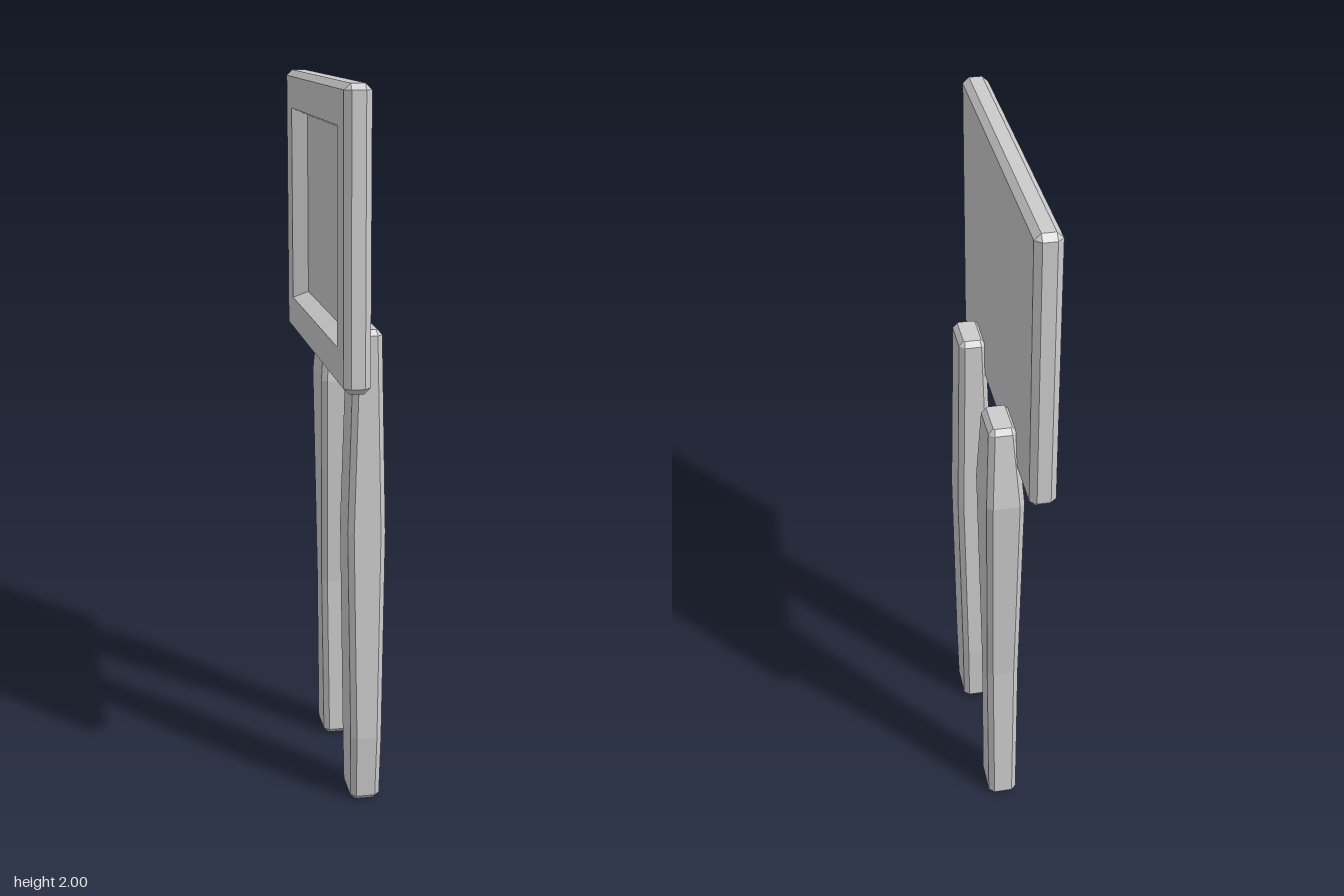
import * as THREE from 'three';

const material = new THREE.MeshStandardMaterial({ color: 0xcccccc, flatShading: true });

// Rectangle with cut corners, counter-clockwise in (u, v)
function cutRect([u0, u1], [v0, v1], c) {
  return [
    [u1, v0 + c], [u1, v1 - c], [u1 - c, v1], [u0 + c, v1],
    [u0, v1 - c], [u0, v0 + c], [u0 + c, v0], [u1 - c, v0],
  ];
}

// Skin through sections { t, u, v, cut }; place maps (t, u, v) to a position
function loft(name, sections, place) {
  const rings = sections.map(s =>
    cutRect(s.u, s.v, s.cut).map(([u, v]) => place(s.t, u, v)));
  const pos = [];
  const tri = (a, b, c) => {
    const area = b.clone().sub(a).cross(c.clone().sub(a)).length();
    if (area > 1e-9) for (const p of [a, b, c]) pos.push(p.x, p.y, p.z);
  };
  for (let k = 0; k < rings.length - 1; k++) {
    const a = rings[k], b = rings[k + 1];
    for (let i = 0; i < 8; i++) {
      const j = (i + 1) % 8;
      tri(a[i], a[j], b[j]);
      tri(a[i], b[j], b[i]);
    }
  }
  const first = rings[0], last = rings[rings.length - 1];
  for (let i = 1; i < 7; i++) {
    tri(first[0], first[i + 1], first[i]);
    tri(last[0], last[i], last[i + 1]);
  }
  const geo = new THREE.BufferGeometry();
  geo.setAttribute('position', new THREE.Float32BufferAttribute(pos, 3));
  geo.computeVertexNormals();
  const mesh = new THREE.Mesh(geo, material);
  mesh.name = name;
  return mesh;
}

// Board: bevelled slab with a shallow framed recess on the -x face
function makeBoard() {
  const section = (x, inset, cut) => ({
    t: x, u: [1.235 + inset, 2 - inset], v: [-0.468 + inset, 0.468 - inset], cut,
  });
  return loft('signBoard', [
    section(-0.035, 0.125, 0), // recess floor
    section(-0.078, 0.105, 0), // recess rim
    section(-0.078, 0.016, 0),
    section(-0.061, 0, 0.016),
    section(-0.025, 0, 0.016),
    section(-0.008, 0.016, 0),
  ], (x, y, z) => new THREE.Vector3(x, y, z));
}

// Post: hewn plank with bevelled edges; rows are [y, zMin, zMax, xMin, xMax]
function makePost(name, rows) {
  const sections = rows.map(([y, z0, z1, x0, x1]) =>
    ({ t: y, u: [z0, z1], v: [x0, x1], cut: 0.015 }));
  const bevelEnd = (s, y) => ({
    t: y, cut: 0.004,
    u: [s.u[0] + 0.013, s.u[1] - 0.013], v: [s.v[0] + 0.013, s.v[1] - 0.013],
  });
  const top = sections[sections.length - 1];
  return loft(name, [bevelEnd(sections[0], 0), ...sections, bevelEnd(top, 1.36)],
    (y, z, x) => new THREE.Vector3(x, y, z));
}

export function createModel() {
  const model = new THREE.Group();
  model.name = 'signpost';
  model.add(makeBoard());
  model.add(makePost('frontPost', [
    [0.014, 0.137, 0.266, -0.02, 0.063],
    [0.2, 0.129, 0.282, -0.022, 0.065],
    [0.8, 0.132, 0.275, -0.03, 0.074],
    [1.345, 0.138, 0.27, -0.013, 0.063],
  ]));
  model.add(makePost('backPost', [
    [0.014, -0.292, -0.167, -0.02, 0.063],
    [0.5, -0.285, -0.176, -0.024, 0.066],
    [1.13, -0.32, -0.14, -0.029, 0.073],
    [1.345, -0.294, -0.163, -0.013, 0.063],
  ]));
  return model;
}
